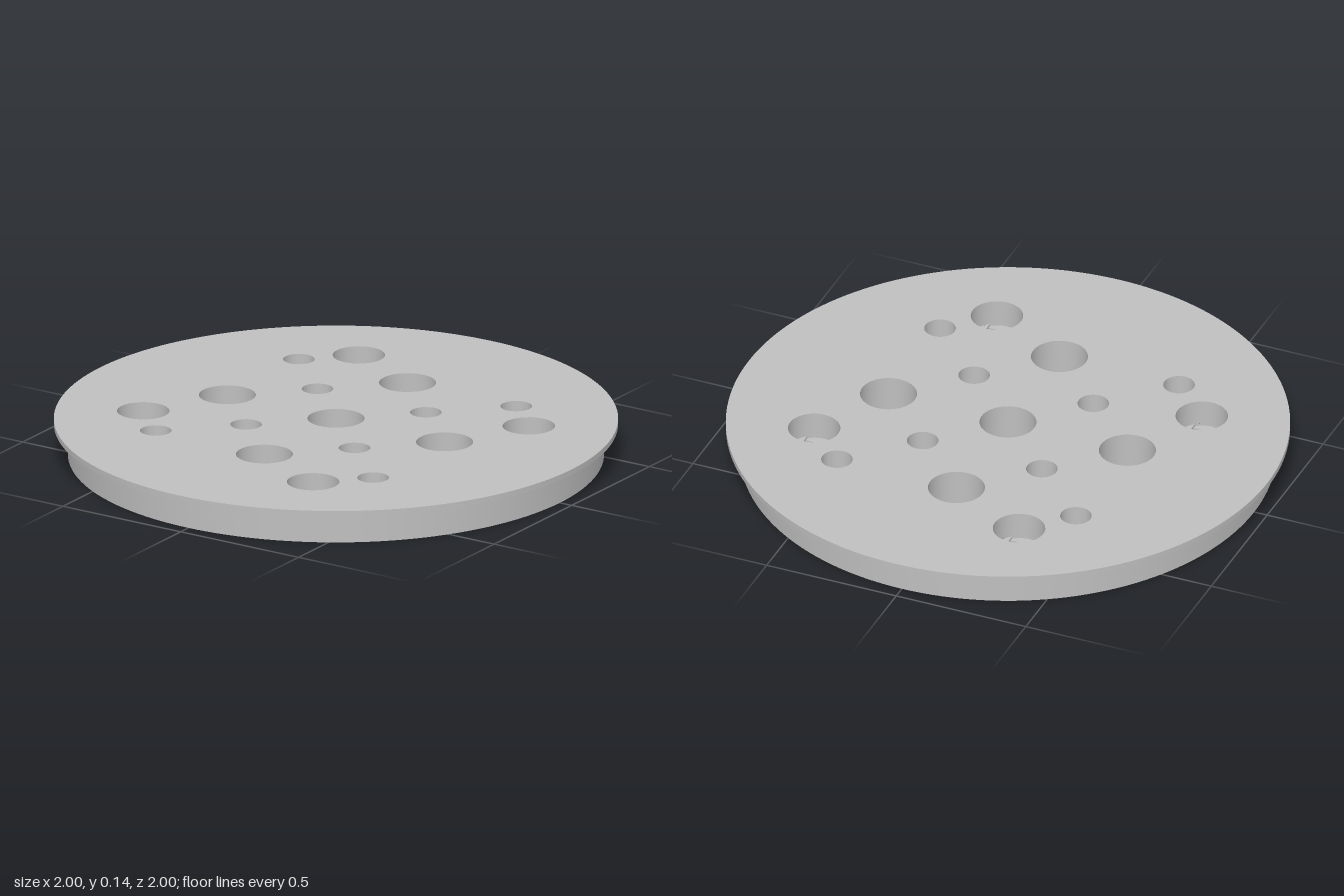
import * as THREE from 'three';
import { mergeGeometries, toCreasedNormals } from 'three/addons/utils/BufferGeometryUtils.js';

// Heights: hole top, square top, counterbore floor, flange underside, flange top
const HOLE_TOP = 0.025, SQUARE_TOP = 0.033, FLOOR = 0.041, RIM = 0.115, TOP = 0.135;
const BODY_R = 0.95, FLANGE_R = 1, BIG_R = 0.101, SMALL_R = 0.056, BORE_R = 0.093, HALF = 0.058;

// Points on an arc in the x-z plane
function arc(cx, cz, r, from, to, n) {
  return Array.from({ length: n + 1 }, (_, i) => {
    const a = from + (to - from) * i / n;
    return new THREE.Vector2(cx + r * Math.cos(a), cz + r * Math.sin(a));
  });
}
const circle = (x, z, r, n = 48) => arc(x, z, r, 0, Math.PI * 2 * (1 - 1 / n), n - 1);

// Flat horizontal face with holes, facing up or down
function face(outline, holes, y, up) {
  const shape = new THREE.Shape(outline);
  shape.holes = holes.map((h) => new THREE.Path(h));
  const g = new THREE.ShapeGeometry(shape).rotateX(Math.PI / 2).translate(0, y, 0);
  if (up) {
    g.index.array.reverse();
    g.computeVertexNormals();
  }
  g.deleteAttribute('uv');
  return g.toNonIndexed();
}

// Vertical wall along a closed outline, facing outward or into a hole
function wall(points, y0, y1, inward) {
  const pos = [];
  points.forEach((a, i) => {
    const b = points[(i + 1) % points.length];
    const a0 = [a.x, y0, a.y], a1 = [a.x, y1, a.y], b0 = [b.x, y0, b.y], b1 = [b.x, y1, b.y];
    const corners = inward ? [a0, b1, a1, a0, b0, b1] : [a0, a1, b1, a0, b1, b0];
    pos.push(...corners.flat());
  });
  const g = new THREE.BufferGeometry();
  g.setAttribute('position', new THREE.Float32BufferAttribute(pos, 3));
  g.computeVertexNormals();
  return toCreasedNormals(g, 0.5);
}

export function createModel() {
  const group = new THREE.Group();
  const grey = new THREE.MeshStandardMaterial({ color: 0xbfbfbf });
  grey.name = 'light grey';
  const add = (name, geometries) => {
    const mesh = new THREE.Mesh(mergeGeometries(geometries), grey);
    mesh.name = name;
    group.add(mesh);
  };

  // Hole layout
  const big = [[0, 0]], small = [], screws = [];
  for (let i = 0; i < 4; i++) {
    const c = Math.round(Math.cos(i * Math.PI / 2)), s = Math.round(Math.sin(i * Math.PI / 2));
    const turn = (x, z) => [x * c - z * s, x * s + z * c];
    big.push(turn(0.461, 0));
    small.push(turn(0.461, 0.461), turn(0.23, 0.23));
    screws.push(turn(0.615, -0.308));
  }
  const plain = [
    ...big.map(([x, z]) => circle(x, z, BIG_R)),
    ...small.map(([x, z]) => circle(x, z, SMALL_R)),
  ];
  const screwHoles = screws.map(([x, z]) => circle(x, z, SMALL_R));
  const bores = screws.map(([x, z]) => circle(x, z, BORE_R));

  // Plug body and wider flange
  const bodyEdge = circle(0, 0, BODY_R, 160), flangeEdge = circle(0, 0, FLANGE_R, 160);
  add('body', [face(bodyEdge, [...plain, ...screwHoles], 0, false), wall(bodyEdge, 0, RIM, false)]);
  add('flange', [
    face(flangeEdge, [bodyEdge], RIM, false),
    wall(flangeEdge, RIM, TOP, false),
    face(flangeEdge, [...plain, ...bores], TOP, true),
  ]);
  add('throughHoles', plain.map((h) => wall(h, 0, TOP, true)));

  // Counterbored screw holes, stepping from round through slot and square to round
  const t = Math.acos(HALF / BORE_R);
  screws.forEach(([x, z], i) => {
    const corner = (sx, sz) => new THREE.Vector2(x + sx * HALF, z + sz * HALF);
    const square = [corner(1, -1), corner(1, 1), corner(-1, 1), corner(-1, -1)];
    const front = arc(x, z, BORE_R, t, Math.PI - t, 12);
    const back = arc(x, z, BORE_R, Math.PI + t, Math.PI * 2 - t, 12);
    add('screwHole', [
      wall(screwHoles[i], 0, HOLE_TOP, true),
      face(square, [screwHoles[i]], HOLE_TOP, true),
      wall(square, HOLE_TOP, SQUARE_TOP, true),
      face([corner(1, 1), ...front, corner(-1, 1)], [], SQUARE_TOP, true),
      face([corner(-1, -1), ...back, corner(1, -1)], [], SQUARE_TOP, true),
      wall([...front, ...back], SQUARE_TOP, FLOOR, true),
      face(arc(x, z, BORE_R, -t, t, 12), [], FLOOR, true),
      face(arc(x, z, BORE_R, Math.PI - t, Math.PI + t, 12), [], FLOOR, true),
      wall(bores[i], FLOOR, TOP, true),
    ]);
  });
  return group;
}
